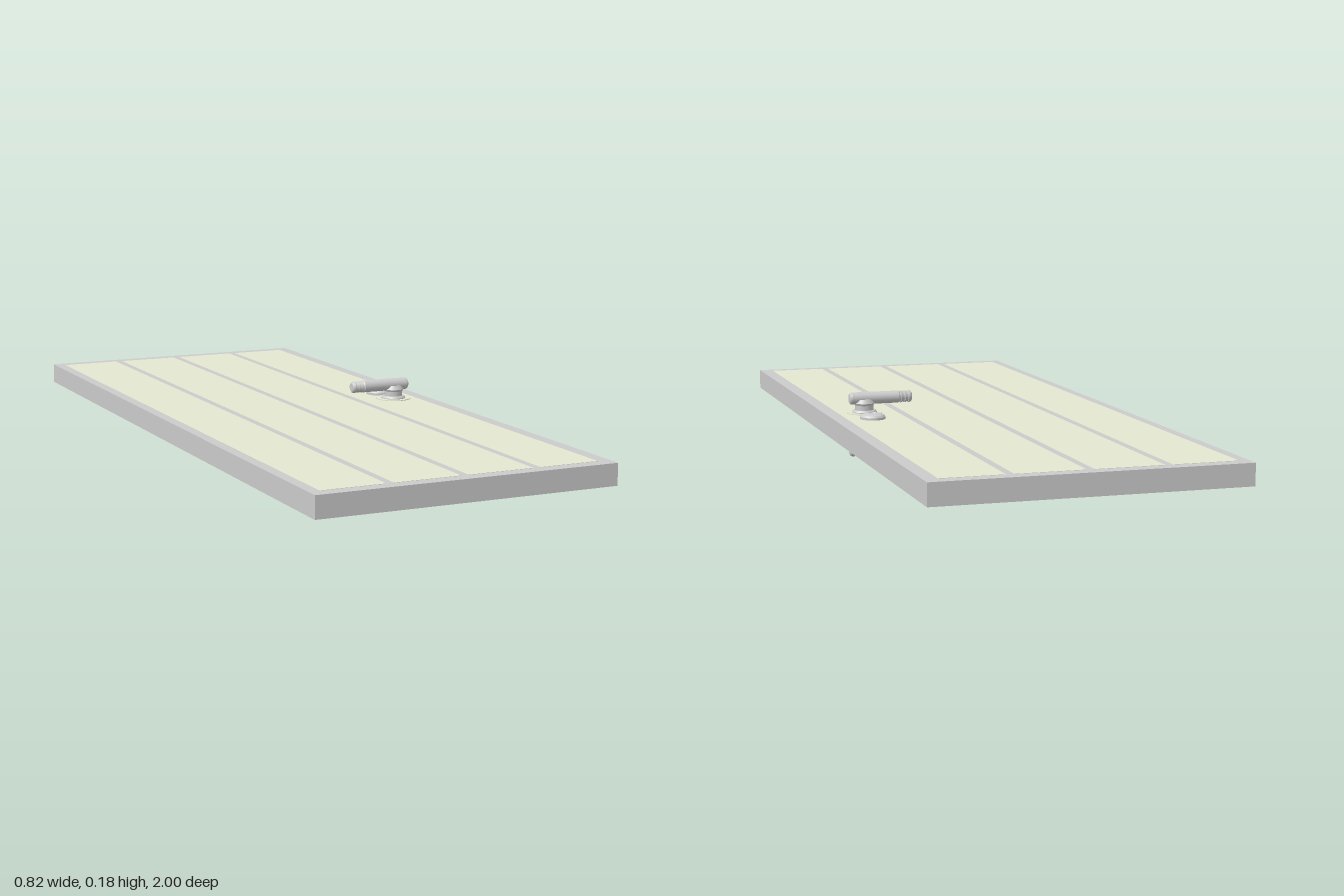
import * as THREE from 'three';

const grey = new THREE.MeshStandardMaterial({ color: 0xcccccc });
const cream = new THREE.MeshStandardMaterial({ color: 0xe4e8d0 });
const MID = 0.0905; // mid-height of the slab
const HALF = 0.029; // half its thickness

function add(parent, name, geometry, material, x = 0, y = 0, z = 0) {
  const mesh = new THREE.Mesh(geometry, material);
  mesh.name = name;
  mesh.position.set(x, y, z);
  parent.add(mesh);
  return mesh;
}

// Smooth turned part; repeated corner points keep edges crisp
function turned(points, sharp = true) {
  const pts = points.map(p => new THREE.Vector2(p[0], p[1]));
  if (!sharp) return new THREE.LatheGeometry(pts, 32);
  const out = [];
  pts.forEach((p, i) => {
    out.push(p);
    if (i > 0 && i < pts.length - 1) out.push(p.clone());
  });
  return new THREE.LatheGeometry(out, 32);
}

// Everything fitted to one face; y = 0 is the mid-plane of the slab
function createSide() {
  const side = new THREE.Group();

  // Four long panels separated by grey strips
  const edges = [[-0.383, -0.21], [-0.19, -0.01], [0.01, 0.19], [0.21, 0.375]];
  for (const [a, b] of edges) {
    add(side, 'panel', new THREE.BoxGeometry(b - a, 0.004, 1.93), cream,
      (a + b) / 2, HALF - 0.0012, 0);
  }

  // Handle: backing disc, rose, neck and lever
  const handle = new THREE.Group();
  handle.name = 'handle';
  handle.position.set(0.305, 0, 0.008);
  side.add(handle);
  add(handle, 'backingDisc', new THREE.CylinderGeometry(0.05, 0.05, 0.002, 40), cream, 0, HALF + 0.004, 0);
  add(handle, 'rose', turned([
    [0.035, HALF], [0.035, 0.036], [0.031, 0.041], [0, 0.041],
  ]), grey);
  add(handle, 'neck', turned([
    [0.026, 0.038], [0.026, 0.054], [0.029, 0.06], [0.023, 0.071], [0, 0.071],
  ]), grey);

  const grip = [[0, 0.043], [0.012, 0.043], [0.016, 0.04], [0.017, 0.036], [0.017, -0.098]];
  for (const x of [-0.101, -0.112, -0.123]) {
    grip.push([0.0145, x], [0.0145, x - 0.002], [0.017, x - 0.003]);
  }
  grip.push([0.017, -0.129], [0.0155, -0.133], [0.012, -0.136], [0, -0.136]);
  const lever = add(handle, 'lever', turned(grip.reverse()), grey, 0, 0.0735, 0);
  lever.rotation.z = -Math.PI / 2;

  // Lock cylinder with a small central opening
  const lock = new THREE.Group();
  lock.name = 'lock';
  lock.position.set(0.305, 0, -0.088);
  side.add(lock);
  add(lock, 'lockRose', turned([
    [0.035, HALF], [0.035, 0.036], [0.031, 0.041], [0.021, 0.045],
    [0.012, 0.046], [0.01, 0.041], [0, 0.041],
  ]), grey);
  add(lock, 'lockCore', new THREE.CylinderGeometry(0.006, 0.006, 0.004, 20), grey, 0, 0.0425, 0);
  return side;
}

export function createModel() {
  const door = new THREE.Group();
  door.name = 'door';
  add(door, 'slab', new THREE.BoxGeometry(0.822, HALF * 2, 2), grey, 0, MID, 0);

  const top = createSide();
  top.name = 'upperSide';
  top.position.y = MID;

  // The lower face mirrors the upper one
  const bottom = createSide();
  bottom.name = 'lowerSide';
  bottom.position.y = MID;
  bottom.scale.y = -1;

  door.add(top, bottom);
  return door;
}
